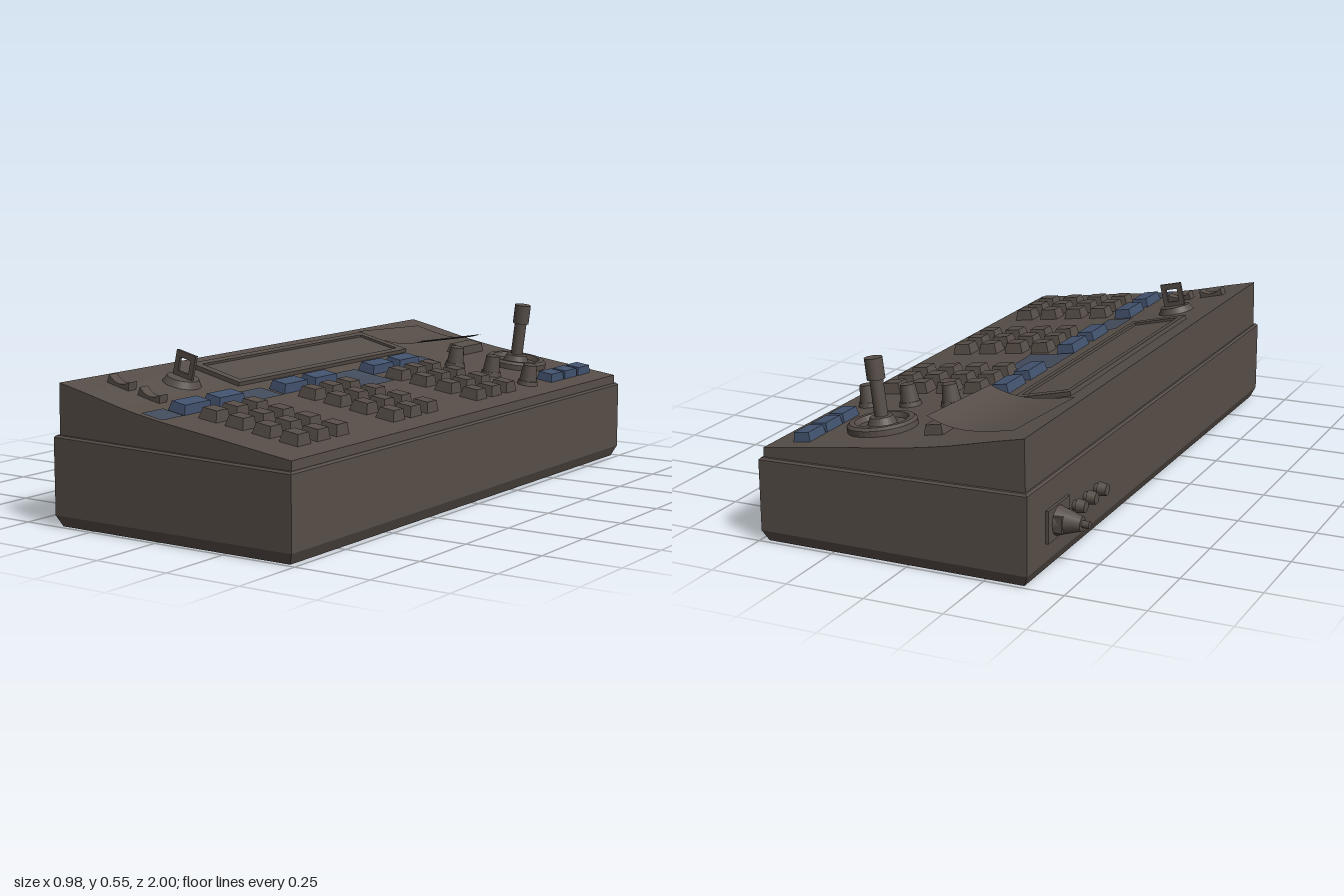
import * as THREE from 'three';

const mat = (name, color) => {
  const m = new THREE.MeshStandardMaterial({ color, side: THREE.DoubleSide });
  m.name = name;
  return m;
};

// Sloping top panel profile: [x, y]
const profile = [[-0.372, 0.438], [-0.28, 0.418], [-0.2, 0.399], [-0.14, 0.385], [-0.08, 0.373],
  [0, 0.359], [0.1, 0.345], [0.2, 0.332], [0.32, 0.315], [0.48, 0.293]];

function panelAt(x) {
  let i = 0;
  while (i < profile.length - 2 && x > profile[i + 1][0]) i++;
  const [x0, y0] = profile[i], [x1, y1] = profile[i + 1];
  const slope = (y1 - y0) / (x1 - x0);
  return { y: y0 + slope * (x - x0), angle: Math.atan(slope) };
}

const flat = (g) => {
  const n = g.index ? g.toNonIndexed() : g;
  n.computeVertexNormals();
  return n;
};

// Tapered rectangular block standing on y = 0
function taperedBlock(w, d, h, taper) {
  const g = new THREE.BoxGeometry(w, h, d).translate(0, h / 2, 0);
  const p = g.attributes.position;
  for (let i = 0; i < p.count; i++) {
    if (p.getY(i) > h / 2) p.setXYZ(i, p.getX(i) - Math.sign(p.getX(i)) * taper, h, p.getZ(i) - Math.sign(p.getZ(i)) * taper);
  }
  return flat(g);
}

// Loft of rectangular rings, each [inset, yFunction]
function lowerCaseGeometry() {
  const top = (x) => 0.274 - 0.016 * (x + 0.386) / 0.875;
  const rings = [[0.016, () => 0], [0, () => 0.035], [0, top], [0.006, (x) => top(x) + 0.006]];
  const pts = rings.map(([s, y]) => [[-0.386, 1], [0.49, 1], [0.49, -1], [-0.386, -1]].map(([x, z]) =>
    [x - Math.sign(x) * s, y(x), z - Math.sign(z) * s]));
  const out = [];
  const quad = (a, b, c, d) => out.push(...a, ...b, ...c, ...a, ...c, ...d);
  for (let r = 0; r < 3; r++) {
    for (let i = 0; i < 4; i++) {
      const j = (i + 1) % 4;
      quad(pts[r][i], pts[r][j], pts[r + 1][j], pts[r + 1][i]);
    }
  }
  quad(...pts[3]);
  quad(...[...pts[0]].reverse());
  const g = new THREE.BufferGeometry();
  g.setAttribute('position', new THREE.Float32BufferAttribute(out, 3));
  g.computeVertexNormals();
  return g;
}

export function createModel() {
  const body = mat('warm grey plastic', 0x574e48);
  const blue = mat('blue button', 0x42526e);
  const tint = mat('blue panel tint', 0x434c5c);

  const model = new THREE.Group();
  model.name = 'controlConsole';

  const add = (parent, name, geometry, material = body, x = 0, y = 0, z = 0) => {
    const m = new THREE.Mesh(geometry, material);
    m.name = name;
    m.position.set(x, y, z);
    parent.add(m);
    return m;
  };
  // Group resting on the panel, tilted with its slope
  const onPanel = (name, x, z) => {
    const g = new THREE.Group(), p = panelAt(x);
    g.name = name;
    g.position.set(x, p.y, z);
    g.rotation.z = p.angle;
    model.add(g);
    return g;
  };
  // Sheet following the panel, with optional turn and curl
  const drape = (name, x, z, w, d, lift, material, turn = 0, curl = 0) => {
    const g = new THREE.PlaneGeometry(w, d, 16, 4).rotateX(-Math.PI / 2);
    const p = g.attributes.position;
    for (let i = 0; i < p.count; i++) {
      const lx = p.getX(i), lz = p.getZ(i), u = lx / w + 0.5;
      const px = x + lx * Math.cos(turn) - lz * Math.sin(turn);
      const pz = z + lx * Math.sin(turn) + lz * Math.cos(turn);
      p.setXYZ(i, px, panelAt(px).y + lift + curl * u ** 3, pz);
    }
    g.computeVertexNormals();
    add(model, name, g, material);
  };

  // Case
  add(model, 'lowerCase', lowerCaseGeometry());
  const side = new THREE.Shape([[-0.375, 0.25], [0.482, 0.25], ...[...profile].reverse()]
    .map(([x, y]) => new THREE.Vector2(x, y)));
  add(model, 'upperCase', new THREE.ExtrudeGeometry(side, { depth: 1.97, bevelEnabled: false }).translate(0, 0, -0.985));

  // Tinted areas of the panel
  for (const [x, z, w, d] of [[-0.025, -0.48, 0.06, 0.1], [0.02, -0.03, 0.16, 0.19], [-0.025, 0.47, 0.09, 0.16], [-0.025, 0.925, 0.08, 0.1]]) {
    drape('panelTint', x, z, w, d, 0.003, tint);
  }

  // Keypads: three blocks of 4 x 3 keys
  const key = taperedBlock(0.066, 0.066, 0.034, 0.007);
  for (const zc of [-0.275, 0.223, 0.72]) {
    for (const dz of [-0.097, 0, 0.097]) {
      for (const x of [0.08, 0.177, 0.274, 0.371]) add(onPanel('key', x, zc + dz), 'keyCap', key);
    }
  }

  // Blue buttons
  const longButton = taperedBlock(0.062, 0.127, 0.03, 0.005);
  for (const z of [-0.36, -0.198, 0.14, 0.305, 0.637, 0.802]) add(onPanel('blueButton', -0.023, z), 'blueButtonCap', longButton, blue);
  const shortButton = taperedBlock(0.058, 0.09, 0.028, 0.004);
  for (const z of [-0.883, -0.784, -0.685]) add(onPanel('cornerButton', 0.382, z), 'cornerButtonCap', shortButton, blue);
  add(onPanel('coveredButton', -0.023, -0.785), 'coveredButtonCap', taperedBlock(0.062, 0.15, 0.03, 0.005));

  // Display with raised frame
  const screen = onPanel('display', -0.215, -0.045);
  const rect = (C, w, h) => new C([[-w, -h], [w, -h], [w, h], [-w, h]].map(([a, b]) => new THREE.Vector2(a, b)));
  const frame = rect(THREE.Shape, 0.1, 0.487);
  frame.holes.push(rect(THREE.Path, 0.078, 0.455));
  add(screen, 'displayFrame', new THREE.ExtrudeGeometry(frame, { depth: 0.014, bevelEnabled: false }).rotateX(-Math.PI / 2));
  add(screen, 'displayGlass', new THREE.BoxGeometry(0.16, 0.006, 0.92), body, 0, 0.003, 0);

  // Curled cover sheet
  drape('coverSheet', -0.172, -0.715, 0.3, 0.335, 0.005, body, 0.13, 0.055);

  // Key switch with upright square handle
  const lock = onPanel('keySwitch', -0.213, 0.605);
  add(lock, 'keySwitchBase', new THREE.CylinderGeometry(0.05, 0.062, 0.022, 32), body, 0, 0.01, 0);
  const handle = rect(THREE.Shape, 0.038, 0.042);
  handle.holes.push(rect(THREE.Path, 0.021, 0.022));
  add(lock, 'keySwitchHandle', new THREE.ExtrudeGeometry(handle, { depth: 0.01, bevelEnabled: false }), body, 0, 0.058, -0.005);

  // Saddle-shaped rockers
  for (const x of [-0.272, -0.152]) {
    const s = new THREE.Shape();
    s.moveTo(-0.043, 0);
    s.lineTo(-0.04, 0.026);
    s.quadraticCurveTo(0, -0.006, 0.04, 0.026);
    s.lineTo(0.043, 0);
    add(onPanel('rocker', x, 0.82), 'rockerCap', new THREE.ExtrudeGeometry(s, { depth: 0.036, bevelEnabled: false, curveSegments: 8 }).translate(0, 0, -0.018));
  }

  // Rotary knobs
  for (const x of [0.085, 0.23, 0.375]) {
    const k = onPanel('knob', x, -0.535);
    add(k, 'knobSkirt', new THREE.CylinderGeometry(0.033, 0.036, 0.014, 20), body, 0, 0.007, 0);
    add(k, 'knobCap', new THREE.CylinderGeometry(0.023, 0.03, 0.056, 20), body, 0, 0.04, 0);
  }

  // Joystick
  const stick = onPanel('joystick', 0.19, -0.78);
  const dish = [[0.107, 0], [0.107, 0.018], [0.098, 0.026], [0.082, 0.026], [0.074, 0.01], [0.045, 0.014], [0.035, 0.036], [0, 0.04]];
  add(stick, 'joystickBase', flat(new THREE.LatheGeometry(dish.map(([r, y]) => new THREE.Vector2(r, y)), 32)));
  add(stick, 'joystickShaft', new THREE.CylinderGeometry(0.021, 0.021, 0.12, 16), body, 0, 0.09, 0);
  add(stick, 'joystickGrip', new THREE.CylinderGeometry(0.028, 0.028, 0.066, 16), body, 0, 0.183, 0);

  // Side sockets pointing to -x
  const plug = (name, r0, r1, x0, x1, z, n = 16) => add(model, name,
    new THREE.CylinderGeometry(r1, r0, x0 - x1, n).rotateZ(Math.PI / 2), body, (x0 + x1) / 2, 0.14, z);
  add(model, 'socketPlate', new THREE.BoxGeometry(0.012, 0.1, 0.15), body, -0.389, 0.14, -0.8);
  add(model, 'socketBlock', new THREE.BoxGeometry(0.035, 0.05, 0.08), body, -0.405, 0.14, -0.805);
  plug('plugBody', 0.045, 0.022, -0.395, -0.47, -0.805);
  plug('plugTip', 0.011, 0.011, -0.465, -0.493, -0.805);
  for (const z of [-0.675, -0.595, -0.515]) {
    plug('jackNeck', 0.015, 0.015, -0.38, -0.405, z);
    plug('jackHead', 0.022, 0.018, -0.398, -0.425, z);
  }
  return model;
}
